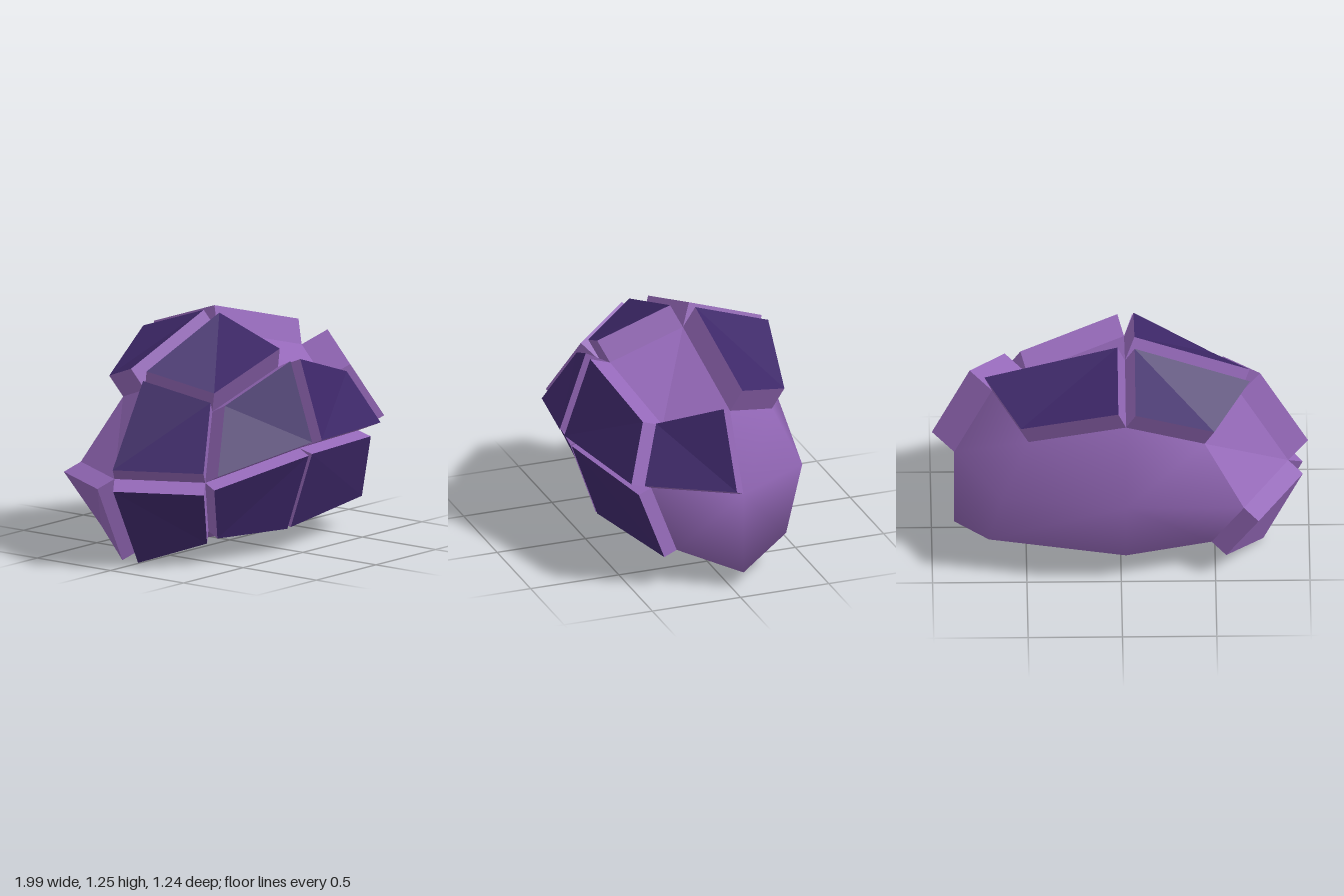
import * as THREE from 'three';

const PURPLE = 0x9468b8;
const DARK = 0x3d2768;
const MID_Z = -0.062;

// Lattice of a rounded block, 3 x 3 x 3 without its core. Key: side (-1 right, 0, 1 left)
// and height (-1, 0, 1); value: x, y, depth from the middle plane.
const MIDDLE = {
  '0,1': [-0.025, 1.13], '0,-1': [-0.025, 0.02],
  '1,0': [0.88, 0.54], '-1,0': [-0.89, 0.47],
  '1,1': [0.68, 0.94], '-1,1': [-0.635, 0.912],
  '1,-1': [0.88, 0.085], '-1,-1': [-0.68, 0.05],
};
const FRONT = {
  '0,0': [-0.025, 0.57, 0.56],
  '0,1': [-0.025, 0.99, 0.413], '0,-1': [-0.025, 0.155, 0.415],
  '1,0': [0.63, 0.54, 0.428], '-1,0': [-0.65, 0.467, 0.425],
  '1,1': [0.49, 0.825, 0.31], '-1,1': [-0.443, 0.802, 0.305],
  '1,-1': [0.70, 0.19, 0.31], '-1,-1': [-0.48, 0.163, 0.308],
};

function latticePoint([i, j, k]) {
  const [x, y, d = 0] = (k === 0 ? MIDDLE : FRONT)[`${i},${j}`];
  return new THREE.Vector3(x, y, MID_Z + k * d);
}

// Quarter of one block side, in counter-clockwise order from the side's centre
function quadKeys(axis, signs) {
  const b = (axis + 1) % 3, c = (axis + 2) % 3;
  const centre = [0, 0, 0];
  centre[axis] = signs[axis];
  const edgeB = [...centre], edgeC = [...centre];
  edgeB[b] = signs[b];
  edgeC[c] = signs[c];
  return signs[0] * signs[1] * signs[2] > 0
    ? [centre, edgeB, signs, edgeC] : [centre, edgeC, signs, edgeB];
}

function quadMesh(quads, color, name) {
  const points = [];
  for (const [a, b, c, d] of quads) points.push(a, b, c, a, c, d);
  const geometry = new THREE.BufferGeometry().setFromPoints(points);
  geometry.computeVertexNormals();
  const mesh = new THREE.Mesh(geometry, new THREE.MeshStandardMaterial({ color, flatShading: true }));
  mesh.name = name;
  return mesh;
}

// Plate raised along the normal of its quad: four rim walls and a cap
function raisedPlate(base, height, capColor, name) {
  const normal = new THREE.Vector3().subVectors(base[2], base[0])
    .cross(new THREE.Vector3().subVectors(base[3], base[1])).normalize();
  const top = base.map((p) => p.clone().addScaledVector(normal, height));
  const rim = base.map((p, i) => [p, base[(i + 1) % 4], top[(i + 1) % 4], top[i]]);
  const plate = new THREE.Group();
  plate.name = name;
  plate.add(quadMesh(rim, PURPLE, 'plateRim'), quadMesh([top], capColor, 'plateCap'));
  return plate;
}

// axis (0 side, 1 top, 2 front), signs of x y z, height, cap colour; height 0 is flush
const PLATES = [
  ['frontUpperLeftPlate', 2, [1, 1, 1], 0.14, DARK],
  ['frontUpperRightPlate', 2, [-1, 1, 1], 0.14, DARK],
  ['frontLowerLeftPlate', 2, [1, -1, 1], 0.08, DARK],
  ['frontLowerRightPlate', 2, [-1, -1, 1], 0.08, DARK],
  ['topBackLeftPlate', 1, [1, 1, -1], 0.142, DARK],
  ['topBackRightPlate', 1, [-1, 1, -1], 0.136, DARK],
  ['topFrontRightPlate', 1, [-1, 1, 1], 0.136, DARK],
  ['topFrontLeftFacet', 1, [1, 1, 1], 0, PURPLE],
  ['leftUpperPlate', 0, [1, 1, 1], 0.16, DARK],
  ['rightUpperFrontPlate', 0, [-1, 1, 1], 0.15, DARK],
  ['rightLowerFrontPlate', 0, [-1, -1, 1], 0.106, DARK],
  ['rightLowerBackPlate', 0, [-1, -1, -1], 0.106, PURPLE],
  ['rightUpperBackFacet', 0, [-1, 1, -1], 0, PURPLE],
];

export function createModel() {
  const model = new THREE.Group();
  model.name = 'platedShell';

  // Plates and flush facets
  const used = new Set();
  for (const [name, axis, signs, height, color] of PLATES) {
    used.add(`${axis}:${signs}`);
    const base = quadKeys(axis, signs).map(latticePoint);
    model.add(height ? raisedPlate(base, height, color, name) : quadMesh([base], color, name));
  }

  // Smooth shell over all remaining quarters, with shared vertices
  const points = [], index = [], ids = new Map();
  const idOf = (key) => {
    const id = key.join();
    if (!ids.has(id)) {
      ids.set(id, points.length);
      points.push(latticePoint(key));
    }
    return ids.get(id);
  };
  for (let axis = 0; axis < 3; axis++)
    for (const x of [-1, 1]) for (const y of [-1, 1]) for (const z of [-1, 1]) {
      if (used.has(`${axis}:${[x, y, z]}`)) continue;
      const [a, b, c, d] = quadKeys(axis, [x, y, z]).map(idOf);
      index.push(a, b, c, a, c, d);
    }
  const geometry = new THREE.BufferGeometry().setFromPoints(points);
  geometry.setIndex(index);
  geometry.computeVertexNormals();
  const shell = new THREE.Mesh(geometry, new THREE.MeshStandardMaterial({ color: PURPLE }));
  shell.name = 'smoothShell';
  model.add(shell);

  return model;
}
